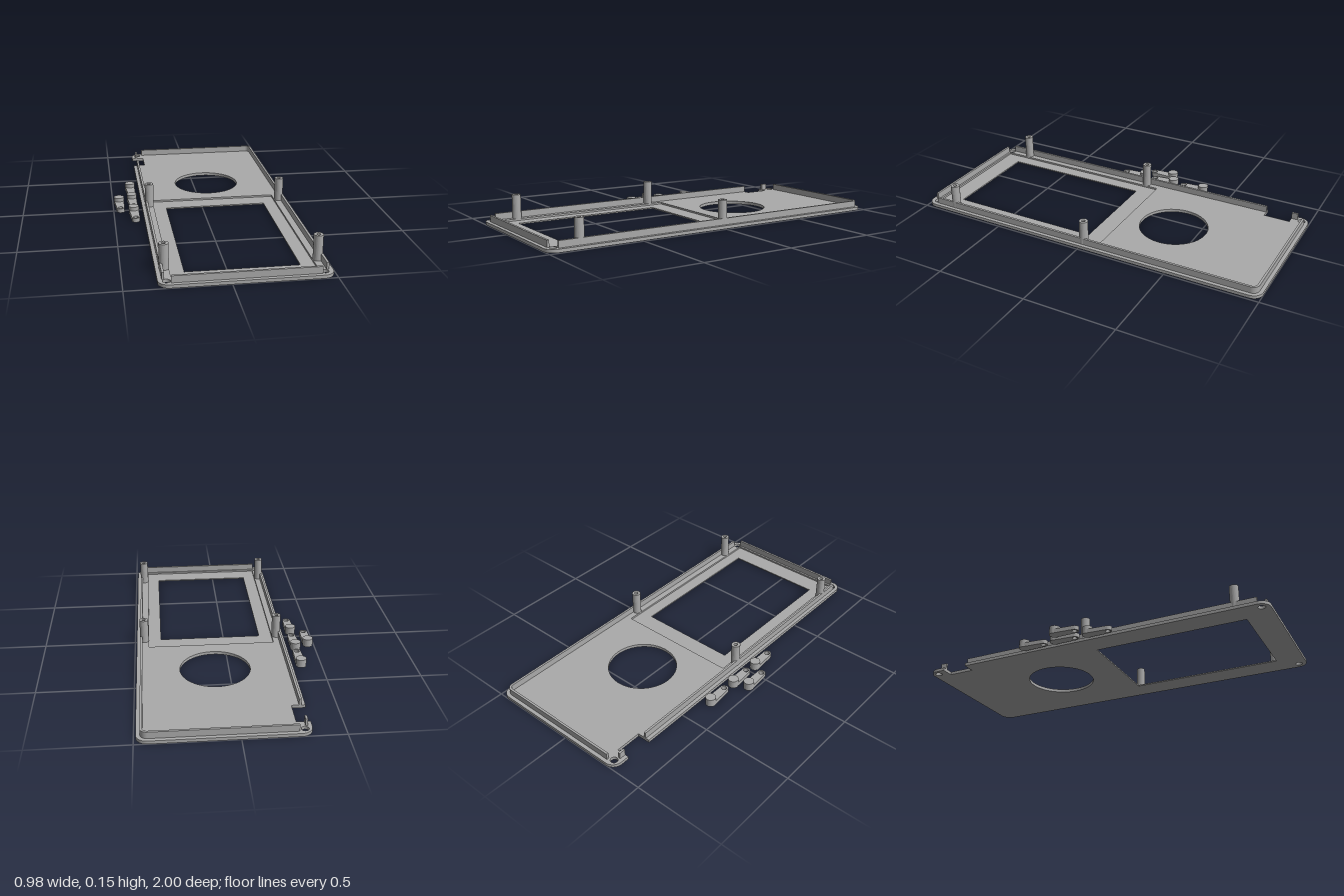
import * as THREE from 'three';

const grey = new THREE.MeshStandardMaterial({ color: 0xaaaaaa });
grey.name = 'grey plastic';

// Plan shapes are drawn as (x, -z) and extruded upwards from y0 to y1
function slab(name, shape, y0, y1) {
  const geo = new THREE.ExtrudeGeometry(shape, { depth: y1 - y0, bevelEnabled: false, curveSegments: 24 });
  geo.rotateX(-Math.PI / 2);
  geo.translate(0, y0, 0);
  const mesh = new THREE.Mesh(geo, grey);
  mesh.name = name;
  return mesh;
}

function trace(target, points) {
  points.forEach(([x, z], i) => (i ? target.lineTo(x, -z) : target.moveTo(x, -z)));
  target.closePath();
  return target;
}

function rect(x0, x1, z0, z1, Type = THREE.Shape) {
  return trace(new Type(), [[x0, z1], [x1, z1], [x1, z0], [x0, z0]]);
}

function circle(x, z, r, Type = THREE.Path) {
  const c = new Type();
  c.absarc(x, -z, r, 0, Math.PI * 2);
  return c;
}

const L = -0.34, R = 0.49, FLOOR = 0.017, LEDGE = 0.007, RIM = 0.052;

// Rounded plate outline with the side notch, screw holes and round opening
function plateShape() {
  const r = 0.055, s = new THREE.Shape();
  s.moveTo(L + r, -1);
  s.lineTo(R - r, -1);
  s.absarc(R - r, -1 + r, r, -Math.PI / 2, 0);
  s.absarc(R - r, 1 - r, r, 0, Math.PI / 2);
  s.absarc(L + r, 1 - r, r, Math.PI / 2, Math.PI);
  s.lineTo(L, 0.9);
  s.lineTo(-0.27, 0.9);
  s.lineTo(-0.27, 0.755);
  s.lineTo(L, 0.755);
  s.absarc(L + r, -1 + r, r, Math.PI, Math.PI * 1.5);
  s.holes.push(circle(0.075, -0.36, 0.187));
  for (const [x, z] of [[-0.303, -0.96], [-0.299, 0.957], [0.446, 0.957]]) s.holes.push(circle(x, z, 0.019));
  return s;
}

// Rim strip along the right side, round the solid back corner and across the back
function rimShape() {
  const t = 0.012, r = 0.035, x = 0.47, z = 0.98, s = new THREE.Shape();
  s.moveTo(x - t, -0.94);
  s.lineTo(x, -0.94);
  s.absarc(x - r, z - r, r, 0, Math.PI / 2);
  s.lineTo(-0.275, z);
  s.lineTo(-0.275, z - t);
  s.absarc(x - r, z - r, r - t, Math.PI / 2, 0, true);
  s.closePath();
  return s;
}

// Loose button: round cap joined by a tapering arm to a pivot ring
function button(x, z) {
  const g = new THREE.Group();
  g.name = 'button';
  const dz = 0.118, dx = 0.004, rc = 0.027, rr = 0.022;
  const arm = new THREE.Shape();
  arm.moveTo(-rc, 0);
  arm.lineTo(dx - rr, -dz);
  arm.absarc(dx, -dz, rr, Math.PI, Math.PI * 2);
  arm.lineTo(rc, 0);
  arm.closePath();
  arm.holes.push(circle(dx, dz, 0.014));
  g.add(slab('buttonArm', arm, 0, 0.023));
  g.add(slab('buttonCap', circle(0, 0, rc + 0.001, THREE.Shape), 0, 0.044));
  g.position.set(x, 0, z);
  return g;
}

export function createModel() {
  const model = new THREE.Group();
  model.name = 'enclosureCover';

  // Plate in two layers: window below, wider recess above
  const lower = plateShape();
  lower.holes.push(rect(-0.205, 0.355, 0.012, 0.852, THREE.Path));
  const upper = plateShape();
  upper.holes.push(rect(-0.275, 0.423, -0.09, 0.957, THREE.Path));
  model.add(slab('lowerPlate', lower, 0, LEDGE), slab('upperPlate', upper, LEDGE, FLOOR));

  // Rim walls, open at the screw holes and the notch
  model.add(slab('backAndRightRim', rimShape(), FLOOR, RIM));
  model.add(slab('leftRim', rect(-0.32, -0.308, -0.755, 0.94), FLOOR, RIM));
  model.add(slab('leftRimEnd', rect(-0.32, -0.308, -0.935, -0.9), FLOOR, RIM));
  model.add(slab('frontRim', rect(-0.28, 0.43, 0.968, 0.98), FLOOR, RIM));

  // Hollow screw posts
  for (const x of [-0.298, 0.447]) {
    for (const z of [-0.012, 0.822]) {
      const ring = circle(x, z, 0.024, THREE.Shape);
      ring.holes.push(circle(x, z, 0.01));
      model.add(slab('screwPost', ring, LEDGE, 0.148));
    }
  }

  // Four loose buttons beside the plate
  for (const [x, z] of [[-0.39, -0.335], [-0.39, -0.145], [-0.39, 0.047], [-0.465, -0.107]]) model.add(button(x, z));

  return model;
}
